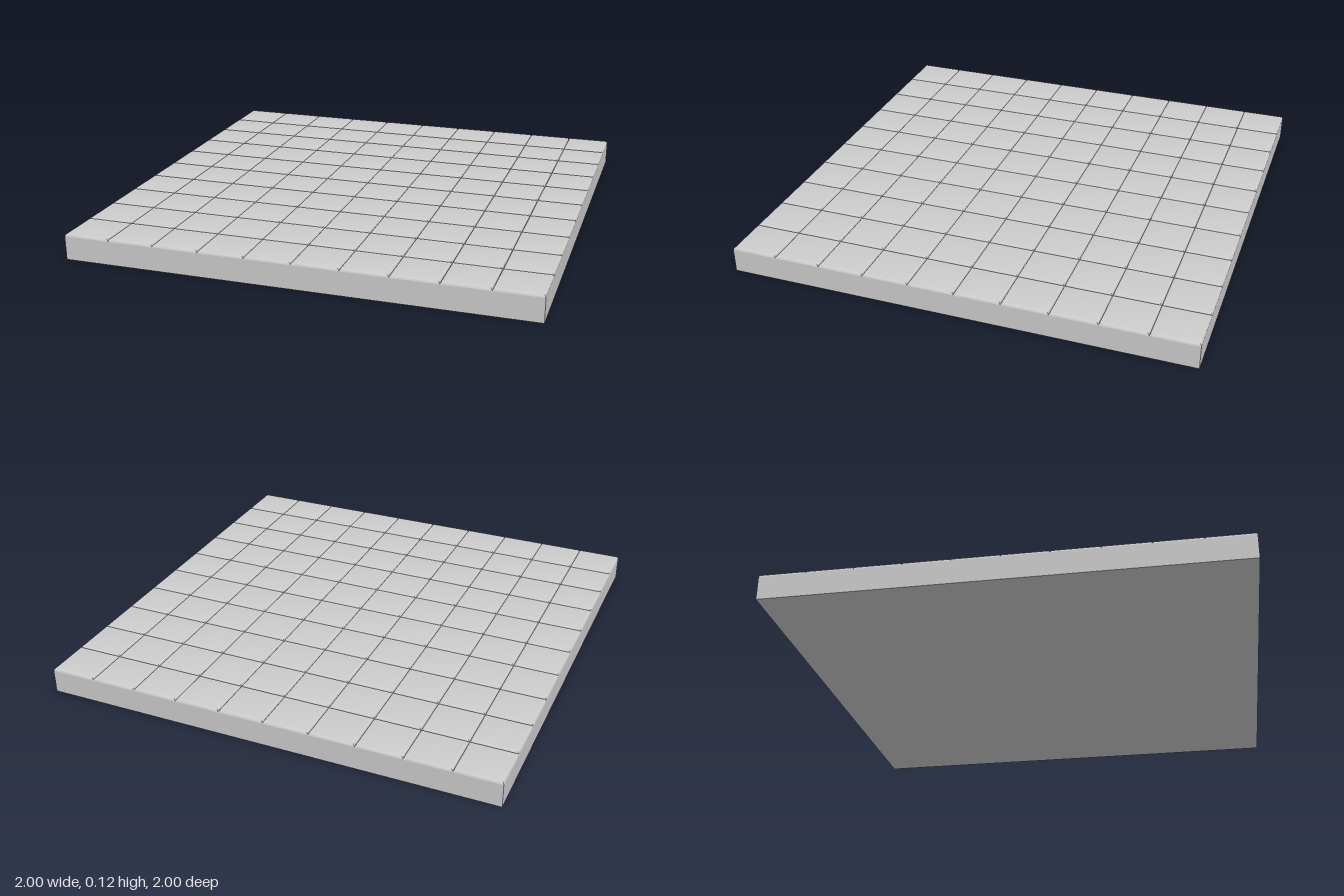
import * as THREE from 'three';
import { mergeGeometries, toCreasedNormals } from 'three/addons/utils/BufferGeometryUtils.js';

const SIZE = 2, COUNT = 10, HEIGHT = 0.115, BEVEL = 0.012;
const TILE = SIZE / COUNT;

// Square tile top with a rounded edge: a four-sided lathe
function tileCap() {
  const points = [];
  const steps = 3;
  for (let i = 0; i <= steps; i++) {
    const a = (i / steps) * Math.PI / 2;
    const half = TILE / 2 - BEVEL * (1 - Math.cos(a));
    points.push(new THREE.Vector2(half * Math.SQRT2, HEIGHT - BEVEL * (1 - Math.sin(a))));
  }
  points.push(new THREE.Vector2(0, HEIGHT));
  return toCreasedNormals(new THREE.LatheGeometry(points, 4, Math.PI / 4), 0.7);
}

export function createModel() {
  const group = new THREE.Group();
  group.name = 'tiledFloor';
  const material = new THREE.MeshStandardMaterial({ color: 0xcccccc });

  // Solid slab under the tiles
  const slabHeight = HEIGHT - BEVEL;
  const slab = new THREE.Mesh(new THREE.BoxGeometry(SIZE, slabHeight, SIZE), material);
  slab.name = 'slab';
  slab.position.y = slabHeight / 2;
  group.add(slab);

  // Grid of bevelled tile tops, one mesh per row
  const cap = tileCap();
  const place = (i) => (i + 0.5) * TILE - SIZE / 2;
  const rowGeometry = mergeGeometries(
    Array.from({ length: COUNT }, (_, i) => cap.clone().translate(place(i), 0, 0))
  );
  for (let j = 0; j < COUNT; j++) {
    const row = new THREE.Mesh(rowGeometry, material);
    row.name = `tileRow${j + 1}`;
    row.position.z = place(j);
    group.add(row);
  }
  return group;
}
